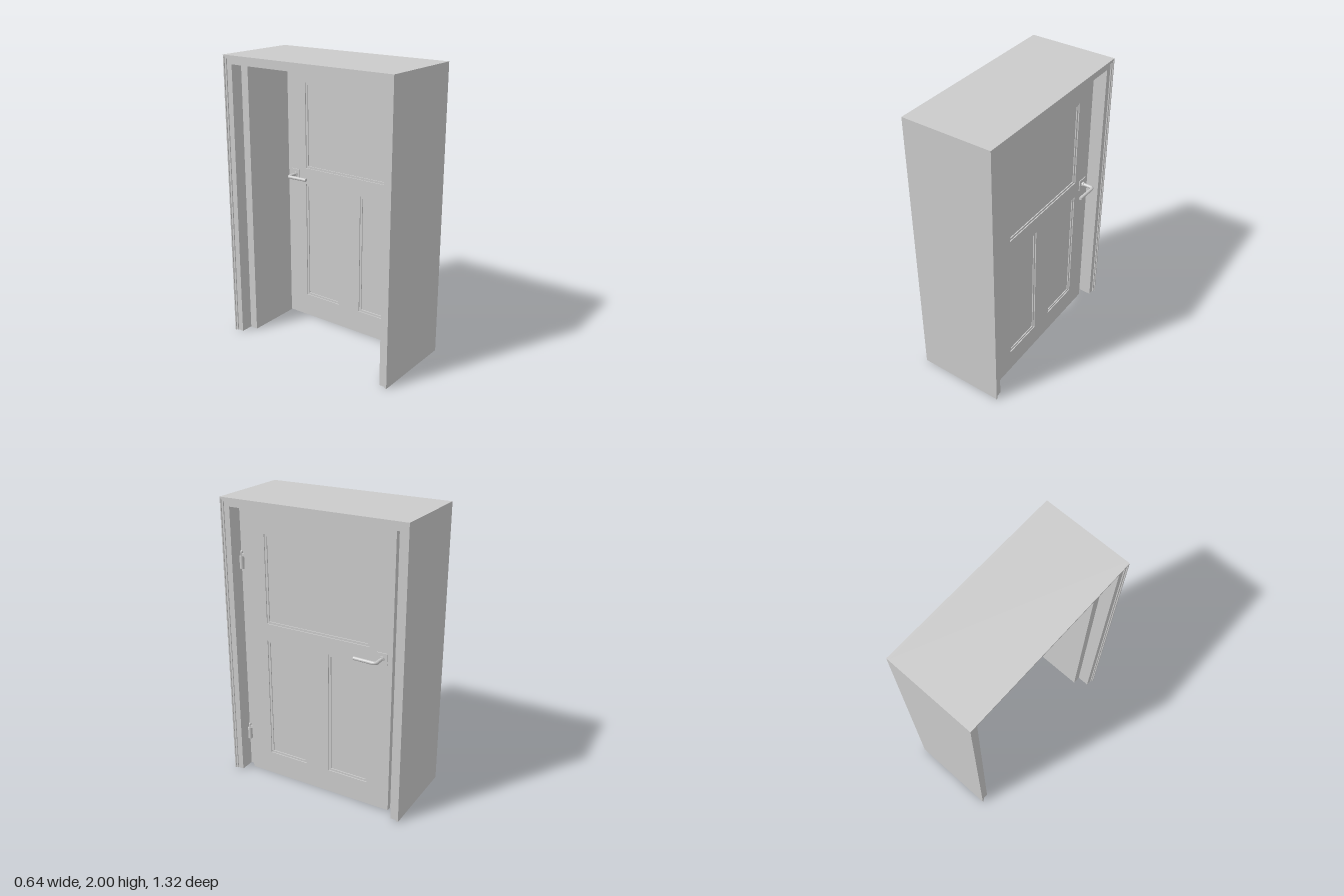
import * as THREE from 'three';

const material = new THREE.MeshStandardMaterial({ color: 0xcccccc });

function add(parent, name, geometry, x = 0, y = 0, z = 0) {
  const mesh = new THREE.Mesh(geometry, material);
  mesh.name = name;
  mesh.position.set(x, y, z);
  parent.add(mesh);
  return mesh;
}

// Box given by its limits along each axis
function block(parent, name, x0, x1, y0, y1, z0, z1) {
  return add(parent, name, new THREE.BoxGeometry(x1 - x0, y1 - y0, z1 - z0),
    (x0 + x1) / 2, (y0 + y1) / 2, (z0 + z1) / 2);
}

// Extrude a (z, y) outline along x; outlines are symmetric in z
function slab(shape, x0, x1) {
  return new THREE.ExtrudeGeometry(shape, { depth: x1 - x0, bevelEnabled: false })
    .rotateY(Math.PI / 2).translate(x0, 0, 0);
}

function polygon(points, Type = THREE.Shape) {
  return new Type(points.map(([a, b]) => new THREE.Vector2(a, b)));
}

const rect = (z0, z1, y0, y1) => [[z0, y0], [z1, y0], [z1, y1], [z0, y1]];

// Door surround: two legs and a head, open at the bottom
function surround(outer, outerTop, inner, innerTop) {
  return polygon([[-outer, 0], [-inner, 0], [-inner, innerTop], [inner, innerTop],
    [inner, 0], [outer, 0], [outer, outerTop], [-outer, outerTop]]);
}

function makeFrame() {
  const frame = new THREE.Group();
  frame.name = 'frame';
  add(frame, 'wallLining', slab(surround(0.662, 2, 0.6, 1.94), -0.308, 0.283));
  // stepped mouldings on both faces
  for (const [name, face, dir] of [['outerMoulding', 0.283, 1], ['innerMoulding', -0.308, -1]]) {
    const band = (d0, d1) => [face + dir * d0, face + dir * d1].sort((a, b) => a - b);
    add(frame, name, slab(surround(0.662, 2, 0.641, 1.974), ...band(0, 0.007)));
    add(frame, name + 'Lip', slab(surround(0.662, 2, 0.654, 1.988), ...band(0.007, 0.014)));
  }
  // thick jambs the door closes against
  for (const s of [-1, 1]) {
    block(frame, 'jamb', -0.22, 0.18, 0, 1.94, Math.min(s * 0.543, s * 0.6), Math.max(s * 0.543, s * 0.6));
  }
  return frame;
}

function makeDoor() {
  const door = new THREE.Group();
  door.name = 'door';
  const back = 0.181, front = 0.219;
  const panels = [
    [-0.386, 0.386, 1.163, 1.777],
    [-0.386, -0.088, 0.172, 1.044],
    [0.088, 0.386, 0.172, 1.044],
  ];
  const leaf = polygon(rect(-0.548, 0.548, 0.004, 1.938));
  for (const p of panels) leaf.holes.push(polygon(rect(...p), THREE.Path));
  add(door, 'doorLeaf', slab(leaf, back, front));

  // recessed panels with a stepped moulding
  for (const [z0, z1, y0, y1] of panels) {
    const w = 0.015;
    const ring = polygon(rect(z0, z1, y0, y1));
    ring.holes.push(polygon(rect(z0 + w, z1 - w, y0 + w, y1 - w), THREE.Path));
    add(door, 'panelMoulding', slab(ring, back + 0.007, front - 0.007));
    block(door, 'panel', back + 0.014, front - 0.014, y0 + w, y1 - w, z0 + w, z1 - w);
  }
  return door;
}

// Lever handle with its square plate, growing along +x from the door face
function makeHandle() {
  const handle = new THREE.Group();
  handle.name = 'handle';
  block(handle, 'handlePlate', 0, 0.006, -0.039, 0.039, -0.037, 0.037);
  add(handle, 'handleCollar', new THREE.CylinderGeometry(0.017, 0.017, 0.014, 20).rotateZ(Math.PI / 2), 0.011);

  const path = new THREE.CurvePath();
  const v = (x, z) => new THREE.Vector3(x, 0, z);
  path.add(new THREE.LineCurve3(v(0, 0), v(0.066, 0)));
  path.add(new THREE.QuadraticBezierCurve3(v(0.066, 0), v(0.09, 0), v(0.089, 0.026)));
  path.add(new THREE.LineCurve3(v(0.089, 0.026), v(0.083, 0.158)));
  const section = new THREE.Shape().absarc(0, 0, 0.0115, 0, Math.PI * 2);
  add(handle, 'lever', new THREE.ExtrudeGeometry(section, {
    steps: 40, curveSegments: 16, extrudePath: path, bevelEnabled: false,
  }));
  return handle;
}

function makeHinge() {
  const hinge = new THREE.Group();
  hinge.name = 'hinge';
  add(hinge, 'hingeBarrel', new THREE.CylinderGeometry(0.0155, 0.0155, 0.085, 20), 0, 0.0425);
  add(hinge, 'hingePin', new THREE.CylinderGeometry(0.009, 0.009, 0.03, 16), 0, 0.1);
  add(hinge, 'hingePinCap', new THREE.SphereGeometry(0.009, 16, 8, 0, Math.PI * 2, 0, Math.PI / 2), 0, 0.115);
  block(hinge, 'hingeArm', -0.005, 0.005, 0.086, 0.106, -0.032, 0);
  return hinge;
}

export function createModel() {
  const model = new THREE.Group();
  model.name = 'framedDoor';
  model.add(makeFrame(), makeDoor());

  const outside = makeHandle();
  outside.position.set(0.219, 1.105, -0.478);
  const inside = makeHandle();
  inside.position.set(0.181, 1.105, -0.478);
  // turned about the lever axis so the lever still points inward
  inside.rotation.z = Math.PI;
  model.add(outside, inside);

  for (const y of [0.23, 1.515]) {
    const hinge = makeHinge();
    hinge.position.set(0.207, y, 0.577);
    model.add(hinge);
  }
  return model;
}
